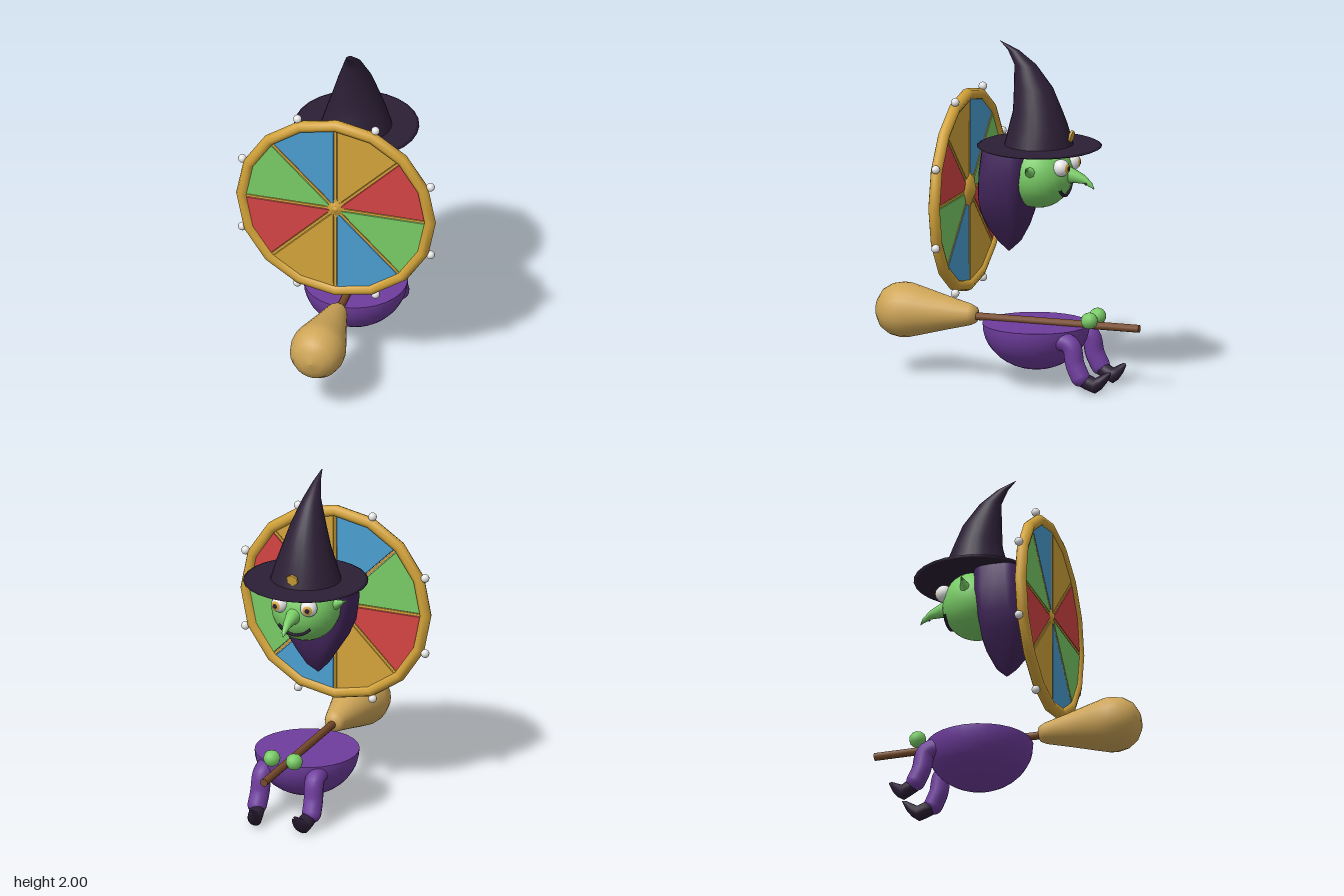
import * as THREE from 'three';
import { mergeVertices } from 'three/addons/utils/BufferGeometryUtils.js';

function makeMaterial(name, color, flatShading = false) {
  const m = new THREE.MeshStandardMaterial({ color, flatShading });
  m.name = name;
  return m;
}

// Smooth skin over rows of [y, zCentre, rz, rx, xCentre], listed from top to bottom.
function loft(rows, sides = 20, power = 1) {
  const g = new THREE.CylinderGeometry(1, 1, 1, sides, rows.length - 1, true);
  g.deleteAttribute('uv');
  g.deleteAttribute('normal');
  const p = g.attributes.position;
  const bulge = (v) => Math.sign(v) * Math.abs(v) ** power;
  for (let i = 0; i < p.count; i++) {
    const [y, zc, rz, rx, xc = 0] = rows[Math.floor(i / (sides + 1))];
    const t = ((i % (sides + 1)) % sides) / sides * Math.PI * 2;
    p.setXYZ(i, xc + rx * bulge(Math.sin(t)), y, zc + rz * bulge(Math.cos(t)));
  }
  const merged = mergeVertices(g, 1e-5);
  merged.computeVertexNormals();
  return merged;
}

// The same skin lying down: rows are [forward, height, ry, rx, x], front end first.
const loftForward = (rows, sides) => loft(rows, sides).rotateX(-Math.PI / 2);

export function createModel() {
  const gold = makeMaterial('gold', 0xd4a43a);
  const red = makeMaterial('red', 0xd64545);
  const green = makeMaterial('green', 0x79cc66);
  const blue = makeMaterial('blue', 0x4a9fd2);
  const straw = makeMaterial('straw', 0xcfa658);
  const purple = makeMaterial('purple', 0x6f3d9e);
  const black = makeMaterial('hatBlack', 0x2c1f36);
  const plum = makeMaterial('hairPlum', 0x43265c);
  const wood = makeMaterial('wood', 0x774a29);
  const white = makeMaterial('white', 0xeeeeee);

  const root = new THREE.Group();
  const add = (name, geometry, material, x = 0, y = 0, z = 0, parent = root) => {
    const m = new THREE.Mesh(geometry, material);
    m.name = name;
    m.position.set(x, y, z);
    parent.add(m);
    return m;
  };

  // Prize wheel
  const wheel = new THREE.Group();
  wheel.name = 'wheel';
  wheel.position.set(0, 1.11, 0.25);
  root.add(wheel);
  add('rim', new THREE.TorusGeometry(0.56, 0.035, 8, 16), gold, 0, 0, 0, wheel);

  const wedge = new THREE.Shape();
  const step = Math.PI / 4;
  wedge.moveTo(0.03, 0.0125);
  for (let i = 0; i <= 4; i++) {
    const a = 0.022 + (step - 0.044) * i / 4;
    wedge.lineTo(0.54 * Math.cos(a), 0.54 * Math.sin(a));
  }
  wedge.closePath();
  const wedgeGeometry = new THREE.ExtrudeGeometry(wedge, {
    depth: 0.02, bevelSize: 0.004, bevelThickness: 0.006, bevelSegments: 1,
  }).translate(0, 0, -0.01);
  const wedgeColours = [red, gold, blue, green];
  for (let i = 0; i < 8; i++) {
    add('wedge', wedgeGeometry, wedgeColours[i % 4], 0, 0, 0, wheel).rotation.z = i * step;
    const spoke = new THREE.BoxGeometry(0.54, 0.014, 0.03).translate(0.27, 0, 0);
    add('spoke', spoke, gold, 0, 0, 0, wheel).rotation.z = i * step;
    const a = (i + 0.5) * step;
    add('peg', new THREE.SphereGeometry(0.025, 12, 8), white,
      0.607 * Math.cos(a), 0.607 * Math.sin(a), -0.01, wheel);
  }
  const hubProfile = [[0, -0.02], [0.12, 0.015], [0.055, 0.04], [0.03, 0.052], [0, 0.056]]
    .map(([r, h]) => new THREE.Vector2(r, h));
  add('hub', new THREE.LatheGeometry(hubProfile, 8).rotateX(-Math.PI / 2), gold, 0, 0, 0.008, wheel);
  add('hubCap', new THREE.SphereGeometry(0.025, 8, 6), gold, 0, 0, 0.008, wheel);

  // Hat
  const brimProfile = [[0, -0.009], [0.34, -0.009], [0.36, 0], [0.34, 0.009], [0, 0.012]]
    .map(([r, h]) => new THREE.Vector2(r, h));
  add('hatBrim', new THREE.LatheGeometry(brimProfile, 28), black, 0, 1.402, -0.19);
  add('hatCone', loft([
    [2.0, 0.048, 0.002, 0.002],
    [1.95, -0.033, 0.034, 0.022],
    [1.87, -0.105, 0.065, 0.052],
    [1.737, -0.155, 0.115, 0.1],
    [1.605, -0.18, 0.143, 0.142],
    [1.525, -0.185, 0.168, 0.17],
    [1.405, -0.187, 0.2, 0.207],
  ], 24), black);
  const buckle = add('hatBuckle',
    new THREE.CylinderGeometry(0.036, 0.036, 0.014, 6).rotateX(Math.PI / 2), gold, 0, 1.47, -0.385);
  buckle.rotation.x = -0.2;

  // Head and hair
  const headY = 1.24, headZ = -0.185;
  add('head', new THREE.SphereGeometry(0.2, 24, 16), green, 0, headY, headZ);
  add('hair', loft([
    [1.395, -0.025, 0.145, 0.21],
    [1.25, -0.015, 0.15, 0.235],
    [1.1, 0.0, 0.145, 0.21],
    [1.0, 0.0, 0.135, 0.165],
    [0.92, -0.004, 0.11, 0.115],
    [0.83, -0.01, 0.06, 0.06],
    [0.77, -0.005, 0.003, 0.003],
  ], 24, 0.55), plum);
  add('nose', loftForward([
    [0.525, 1.168, 0.003, 0.003],
    [0.51, 1.19, 0.015, 0.013],
    [0.465, 1.222, 0.026, 0.024],
    [0.4, 1.24, 0.042, 0.038],
    [0.34, 1.245, 0.06, 0.055],
  ], 12), green);
  add('wart', new THREE.SphereGeometry(0.008, 8, 6), black, 0.018, 1.2, -0.478);

  const mouthPoints = [-0.1, -0.06, 0, 0.06, 0.1].map((x) => {
    const y = 1.12 + 5 * x * x;
    return new THREE.Vector3(x, y, headZ - Math.sqrt(0.205 ** 2 - x * x - (y - headY) ** 2));
  });
  add('mouth', new THREE.TubeGeometry(new THREE.CatmullRomCurve3(mouthPoints), 16, 0.009, 6), black);

  // Broom, its brush pointing to the front
  add('broomStick', new THREE.CylinderGeometry(0.023, 0.023, 1.02, 10).rotateX(Math.PI / 2),
    wood, 0, 0.37, -0.29);
  const brushProfile = [[0, 0.19], [0.045, 0.195], [0.062, 0.23], [0.1, 0.38], [0.14, 0.53],
    [0.158, 0.6], [0.16, 0.645], [0.148, 0.705], [0.115, 0.757], [0.065, 0.788], [0, 0.8]]
    .map(([r, h]) => new THREE.Vector2(r, h));
  add('broomBrush', new THREE.LatheGeometry(brushProfile, 24).rotateX(Math.PI / 2), straw, 0, 0.377, 0);

  // Rounded lower body with a flat top
  const bowl = new THREE.SphereGeometry(1, 28, 10, 0, Math.PI * 2, Math.PI / 2, Math.PI / 2);
  add('body', bowl.scale(0.3, 0.265, 0.31), purple, 0, 0.357, -0.17);
  add('bodyTop', new THREE.CircleGeometry(1, 28).rotateX(-Math.PI / 2).scale(0.3, 1, 0.31),
    purple, 0, 0.357, -0.17);

  for (const side of [1, -1]) {
    // Eyes with iris and pupil caps
    const eye = new THREE.Group();
    eye.name = 'eye';
    eye.position.set(side * 0.09, 1.3, -0.355);
    eye.rotation.y = -side * 0.2;
    root.add(eye);
    const cap = (r, spread) =>
      new THREE.SphereGeometry(r, 16, 6, 0, Math.PI * 2, 0, spread).rotateX(-Math.PI / 2);
    add('eyeball', new THREE.SphereGeometry(0.05, 16, 12), white, 0, 0, 0, eye);
    add('iris', cap(0.0515, 0.58), gold, 0, 0, 0, eye);
    add('pupil', cap(0.053, 0.28), black, 0, 0, 0, eye);

    // Pointed ears
    const ear = add('ear', new THREE.ConeGeometry(0.04, 0.11, 8), green, side * 0.215, 1.295, -0.2);
    ear.rotation.z = -side * 1.15;

    // Hands on the stick
    add('hand', new THREE.IcosahedronGeometry(0.05, 1), green, side * 0.07, 0.41, -0.52);

    // Bent legs
    const path = new THREE.CatmullRomCurve3([
      [0.16, 0.297, -0.33], [0.16, 0.297, -0.4], [0.163, 0.27, -0.445],
      [0.167, 0.17, -0.468], [0.17, 0.1, -0.5],
    ].map(([x, y, z]) => new THREE.Vector3(side * x, y, z)));
    add('leg', new THREE.TubeGeometry(path, 20, 0.056, 14), purple);
    add('ankle', new THREE.SphereGeometry(0.056, 14, 10), purple, side * 0.17, 0.1, -0.5);

    // Boots with curled toes
    add('boot', loftForward([
      [0.674, 0.127, 0.004, 0.006, side * 0.128],
      [0.65, 0.1, 0.03, 0.024, side * 0.135],
      [0.62, 0.072, 0.042, 0.036, side * 0.142],
      [0.585, 0.05, 0.045, 0.045, side * 0.15],
      [0.54, 0.07, 0.047, 0.046, side * 0.158],
      [0.5, 0.08, 0.038, 0.042, side * 0.163],
      [0.48, 0.08, 0.005, 0.005, side * 0.165],
    ], 12), black);
  }
  return root;
}
